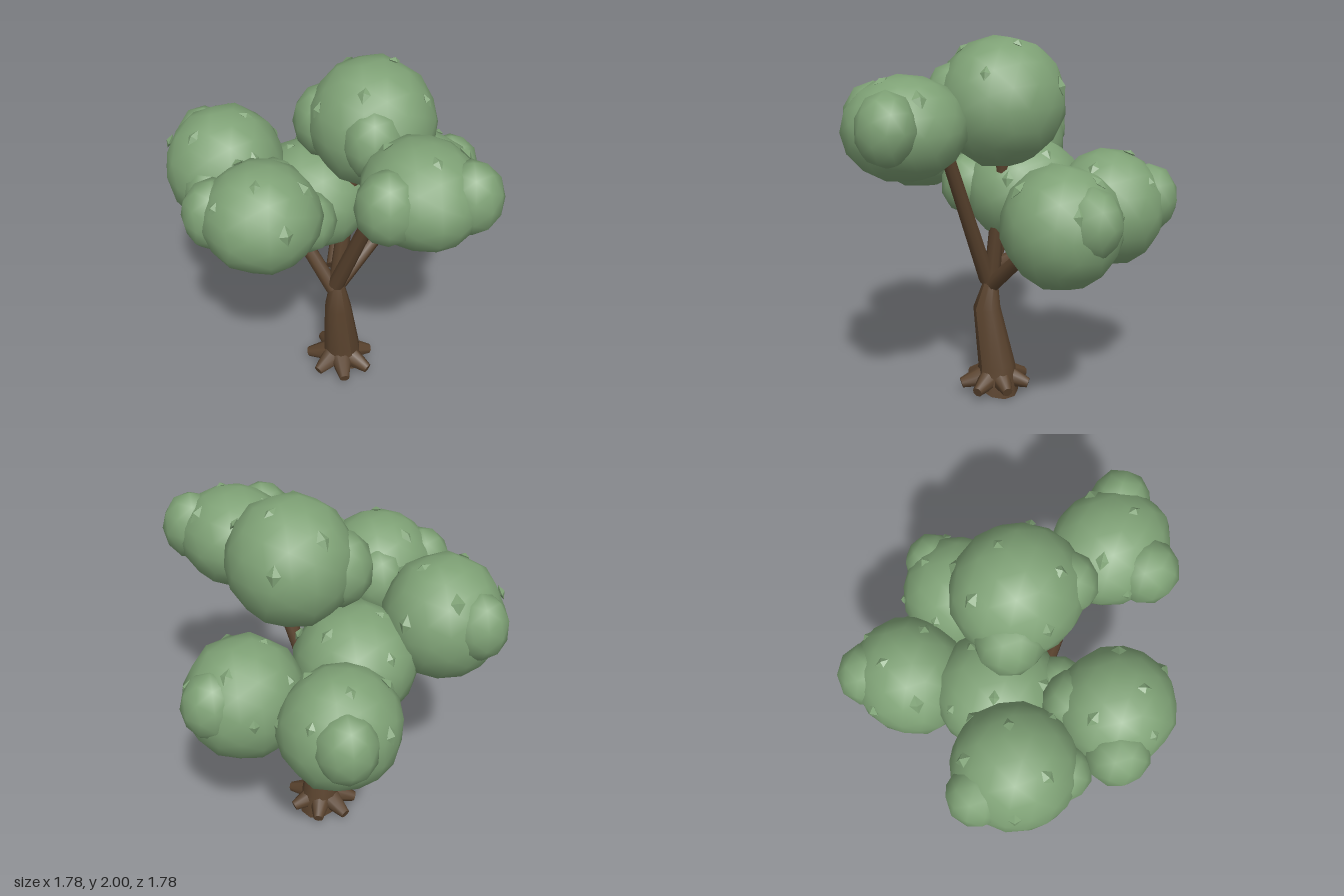
import * as THREE from 'three';
import { mergeVertices } from 'three/addons/utils/BufferGeometryUtils.js';

const leafGreen = new THREE.MeshStandardMaterial({ color: 0x7fa276 });
leafGreen.name = 'leafGreen';
const barkBrown = new THREE.MeshStandardMaterial({ color: 0x5a432e });
barkBrown.name = 'barkBrown';

// Coarse ball with a slight wobble and smooth normals
function blob(name, center, radii, detail, phase) {
  let g = new THREE.IcosahedronGeometry(1, detail);
  g.deleteAttribute('uv');
  g.deleteAttribute('normal');
  g = mergeVertices(g, 1e-4);
  const p = g.attributes.position;
  const v = new THREE.Vector3();
  for (let i = 0; i < p.count; i++) {
    v.fromBufferAttribute(p, i);
    v.multiplyScalar(1.01 + 0.025 * Math.sin(7 * v.x + 5 * v.y + phase) * Math.cos(8 * v.z - 4 * v.y + phase));
    p.setXYZ(i, v.x, v.y, v.z);
  }
  g.computeVertexNormals();
  const m = new THREE.Mesh(g, leafGreen);
  m.name = name;
  m.position.set(...center);
  m.scale.set(...radii);
  return m;
}

// Foliage cluster: main ball, side bumps [x, y, z, radius], spiral of leaf tufts
function cluster(name, c, r, phase, ...bumps) {
  const g = new THREE.Group();
  g.name = name;
  g.add(blob('foliageBall', c, r, 2, phase));
  bumps.forEach(([x, y, z, b], i) =>
    g.add(blob('foliageBump', [x, y, z], [b, b * 1.18, b], 1, phase + i * 2)));
  for (let i = 0; i < 7; i++) {
    const up = 0.92 - i * 0.13;
    const a = i * 2.4 + phase;
    const out = Math.sqrt(1 - up * up);
    const d = new THREE.Vector3(Math.cos(a) * out, up, Math.sin(a) * out);
    const tuft = new THREE.Mesh(new THREE.OctahedronGeometry(0.036 + 0.007 * (i % 3)), leafGreen);
    tuft.name = 'leafTuft';
    tuft.position.set(c[0] + d.x * r[0], c[1] + d.y * r[1], c[2] + d.z * r[2]);
    tuft.lookAt(d.add(tuft.position));
    tuft.scale.set(0.75, 1.1, 0.45);
    g.add(tuft);
  }
  return g;
}

// Tapered limb between two points
function limb(name, from, to, r0, r1) {
  const a = new THREE.Vector3(...from), b = new THREE.Vector3(...to);
  const m = new THREE.Mesh(new THREE.CylinderGeometry(r1, r0, a.distanceTo(b), 8), barkBrown);
  m.name = name;
  m.position.copy(a).add(b).multiplyScalar(0.5);
  m.quaternion.setFromUnitVectors(new THREE.Vector3(0, 1, 0), b.sub(a).normalize());
  return m;
}

// Trunk lofted through leaning rings [x, y, z, radius], with a tilted foot
function makeTrunk() {
  const rings = [[-0.045, 0.69, -0.06, 0.03], [-0.055, 0.5, -0.035, 0.075], [-0.01, 0.17, -0.07, 0.103], [0, 0.034, -0.07, 0.115]];
  const last = rings.length - 1;
  const g = new THREE.CylinderGeometry(1, 1, last, 10, last);
  const p = g.attributes.position;
  for (let i = 0; i < p.count; i++) {
    const k = Math.round(last / 2 - p.getY(i));
    const [x, y, z, r] = rings[k];
    const dx = p.getX(i) * r;
    p.setXYZ(i, x + dx, y - (k === last ? 0.31 * dx : 0), z + p.getZ(i) * r);
  }
  g.computeVertexNormals();
  const m = new THREE.Mesh(g, barkBrown);
  m.name = 'trunk';
  return m;
}

export function createModel() {
  const tree = new THREE.Group();
  tree.name = 'tree';
  tree.add(makeTrunk());

  // Roots spread in a star around the trunk foot
  for (let i = 0; i < 7; i++) {
    const a = (i / 7) * Math.PI * 2 + 0.25;
    const x = Math.cos(a), z = Math.sin(a);
    tree.add(limb('root', [-0.02 + x * 0.04, 0.105, -0.07 + z * 0.04],
      [-0.02 + x * 0.18, 0.062, -0.07 + z * 0.2], 0.07, 0.028));
  }

  // Branches from the fork into the clusters
  const fork = [-0.05, 0.62, -0.06];
  tree.add(limb('frontBranch', [-0.06, 0.66, -0.04], [0.03, 1.52, 0.32], 0.046, 0.034));
  tree.add(limb('leftBranch', fork, [0.45, 1.06, -0.07], 0.045, 0.036));
  tree.add(limb('backLeftBranch', [-0.04, 0.74, -0.1], [0.3, 1, -0.5], 0.04, 0.034));
  tree.add(limb('backRightBranch', [-0.07, 0.62, -0.06], [-0.26, 1.2, -0.4], 0.043, 0.034));
  tree.add(limb('topBranch', fork, [0.08, 1.5, -0.06], 0.045, 0.034));

  // Foliage
  tree.add(cluster('crownTop', [0.13, 1.67, 0.01], [0.32, 0.33, 0.335], 0, [0, 1.69, 0.21, 0.155], [-0.03, 1.64, -0.17, 0.17]));
  tree.add(cluster('crownFront', [0.05, 1.575, 0.54], [0.285, 0.26, 0.315], 1.7, [-0.17, 1.6, 0.58, 0.16], [0.19, 1.61, 0.73, 0.155]));
  tree.add(cluster('crownLeft', [0.52, 1.08, -0.07], [0.315, 0.315, 0.305], 3.4, [0.73, 1.14, -0.08, 0.155]));
  tree.add(cluster('crownBackLeft', [0.33, 1.07, -0.56], [0.315, 0.315, 0.295], 5.1, [0.46, 1.12, -0.73, 0.16]));
  tree.add(cluster('crownBackRight', [-0.45, 1.335, -0.5], [0.315, 0.325, 0.315], 6.8, [-0.45, 1.38, -0.73, 0.155], [-0.61, 1.3, -0.34, 0.15]));
  tree.add(cluster('crownRight', [-0.55, 1.385, 0.06], [0.295, 0.275, 0.295], 8.5, [-0.73, 1.38, -0.09, 0.16], [-0.4, 1.38, -0.08, 0.16]));
  tree.add(cluster('crownCentre', [-0.05, 1.14, -0.28], [0.325, 0.295, 0.325], 10.2, [-0.23, 1.17, -0.03, 0.145]));
  return tree;
}
